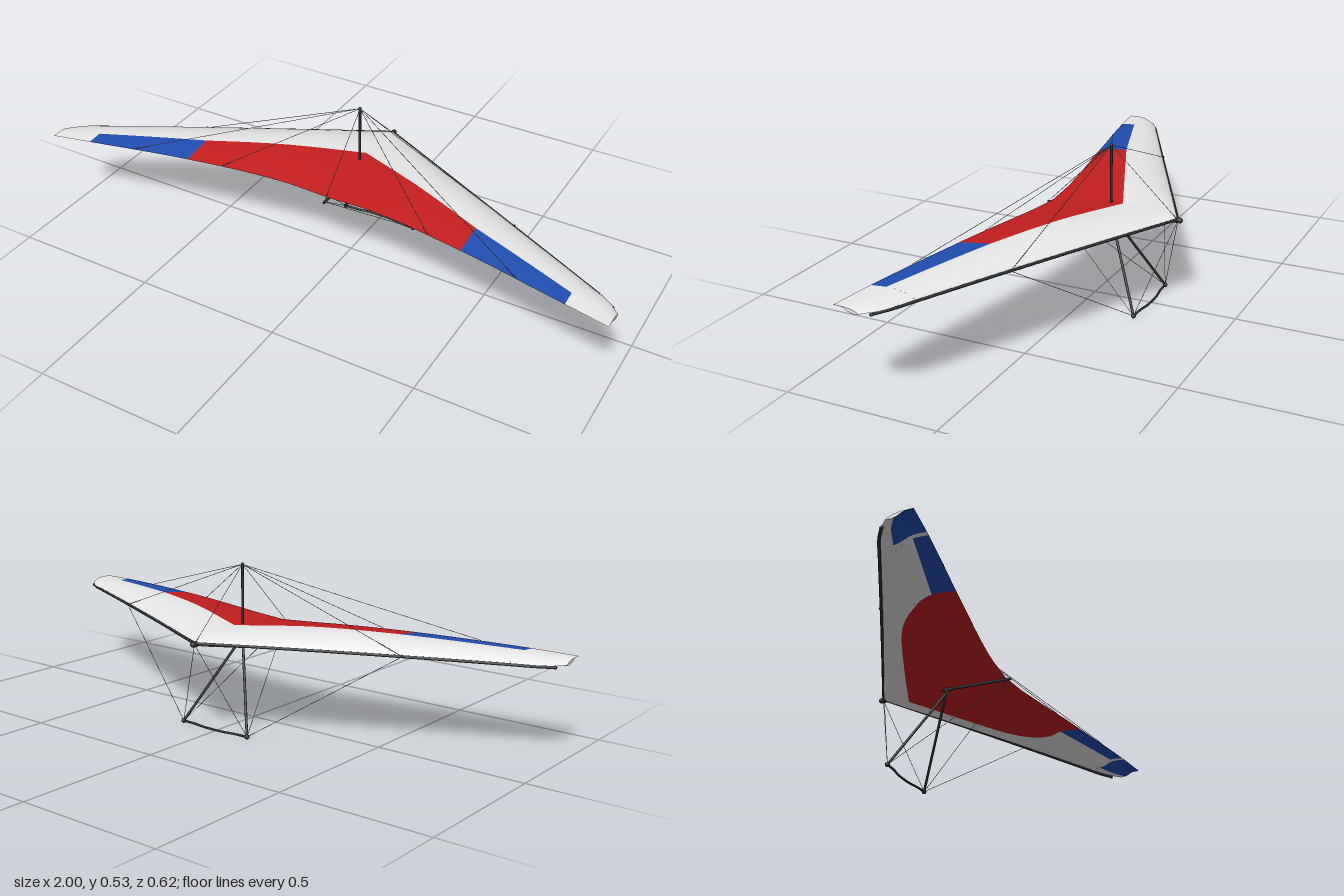
import * as THREE from 'three';
import { mergeGeometries } from 'three/addons/utils/BufferGeometryUtils.js';

const mat = (name, color, side = THREE.FrontSide) => {
  const m = new THREE.MeshStandardMaterial({ color, side });
  m.name = name;
  return m;
};
const V = (x, y, z) => new THREE.Vector3(x, y, z);

// Smooth curve through [span, value] pairs
const curve = (...pts) => {
  const c = new THREE.CubicInterpolant(pts.map(p => p[0]), pts.map(p => p[1]), 1, [0]);
  return x => c.evaluate(x)[0];
};

// Sail shape along the half span
const leadZ = curve([0, -0.297], [0.3, -0.144], [0.6, 0.008], [0.9, 0.16], [0.96, 0.193], [1, 0.23]);
const trailZ = curve([0, 0.155], [0.15, 0.162], [0.5, 0.218], [0.86, 0.287], [1, 0.311]);
const leadY = curve([0, 0.313], [0.5, 0.309], [1, 0.303]);
const trailY = curve([0, 0.311], [0.25, 0.325], [0.5, 0.329], [0.86, 0.322], [1, 0.316]);
const camber = curve([0, 0.025], [0.25, 0.033], [0.5, 0.027], [0.86, 0.014], [1, 0.007]);
const belly = curve([0, 0.026], [0.2, 0.017], [0.5, 0.006], [1, 0.005]);

// Point on the sail: x along the span, u from leading to trailing edge
function sailPoint(x, u, upper) {
  const base = THREE.MathUtils.lerp(leadY(x), trailY(x), u);
  const arch = camber(x) * Math.sin(Math.PI * Math.pow(u, 0.72));
  const z = THREE.MathUtils.lerp(leadZ(x), trailZ(x), u);
  if (upper) return [x, base + arch, z];
  const follow = 0.85 * THREE.MathUtils.smoothstep(u, 0.4, 0.8);
  const sag = u < 0.6 ? belly(x) * Math.sin(Math.PI * Math.pow(u / 0.6, 0.8)) : 0;
  return [x, base + arch * follow - sag, z];
}

// Grid of quads from a point rule f(a, b), with a and b in 0..1
function grid(f, na, nb, flip) {
  const pos = [], idx = [];
  for (let i = 0; i <= na; i++)
    for (let j = 0; j <= nb; j++) pos.push(...f(i / na, j / nb));
  for (let i = 0; i < na; i++)
    for (let j = 0; j < nb; j++) {
      const a = i * (nb + 1) + j, b = a + 1, c = a + nb + 1, d = c + 1;
      idx.push(...(flip ? [a, c, b, b, c, d] : [a, b, c, b, d, c]));
    }
  const g = new THREE.BufferGeometry();
  g.setAttribute('position', new THREE.Float32BufferAttribute(pos, 3));
  g.setIndex(idx);
  g.computeVertexNormals();
  return g;
}

// Sail panel between spans x0..x1 and chord rules u0(x)..u1(x), on both wings
function panel(x0, x1, u0, u1, upper) {
  return [1, -1].map(s => grid((a, b) => {
    const x = THREE.MathUtils.lerp(x0, x1, a);
    const p = sailPoint(x, THREE.MathUtils.lerp(u0(x), u1(x), b), upper);
    return [s * p[0], p[1], p[2]];
  }, Math.ceil((x1 - x0) * 50), 14, (s > 0) !== upper));
}

// Round bar between two points
function bar(a, b, r, sides = 10) {
  const d = b.clone().sub(a);
  const g = new THREE.CylinderGeometry(r, r, d.length(), sides);
  g.applyQuaternion(new THREE.Quaternion().setFromUnitVectors(V(0, 1, 0), d.normalize()));
  return g.translate(...a.clone().add(b).multiplyScalar(0.5).toArray());
}
const ball = (p, r) => new THREE.SphereGeometry(r, 14, 10).translate(p.x, p.y, p.z);

export function createModel() {
  const group = new THREE.Group();
  const white = mat('white sailcloth', 0xe8e8e8, THREE.DoubleSide);
  const red = mat('red sailcloth', 0xc41e1e, THREE.DoubleSide);
  const blue = mat('blue sailcloth', 0x204db0, THREE.DoubleSide);
  const dark = mat('dark tubing', 0x2a2f31);
  const steel = mat('steel wire', 0x80868a);
  const add = (name, geos, m) => {
    const mesh = new THREE.Mesh(geos.length > 1 ? mergeGeometries(geos) : geos[0], m);
    mesh.name = name;
    group.add(mesh);
  };

  // Upper sail: white front, red centre and blue outer panels behind it
  const zero = () => 0, one = () => 1;
  const frontZ = x => x < 0.5 ? -0.1 + 0.42 * x : 0.11 + 0.347 * (x - 0.5);
  const split = x => (frontZ(x) - leadZ(x)) / (trailZ(x) - leadZ(x));
  add('upperSailWhite', [
    ...panel(0, 0.5, zero, split, true),
    ...panel(0.5, 0.86, zero, split, true),
    ...panel(0.86, 1, zero, one, true),
  ], white);
  add('upperSailRed', panel(0, 0.5, split, one, true), red);
  add('upperSailBlue', panel(0.5, 0.86, split, one, true), blue);

  // Lower sail: red centre with rounded outer corners, blue rear strips and tips
  const redEdge = x => 0.225 + 0.3 * Math.pow(x / 0.55, 10);
  const blueEdge = () => 0.68;
  const tipEdge = () => 0.3;
  add('lowerSailWhite', [
    ...panel(0, 0.55, zero, redEdge, false),
    ...panel(0.55, 0.86, zero, blueEdge, false),
    ...panel(0.86, 0.877, zero, one, false),
    ...panel(0.877, 1, zero, tipEdge, false),
  ], white);
  add('lowerSailRed', panel(0, 0.55, redEdge, one, false), red);
  add('lowerSailBlue', [
    ...panel(0.55, 0.86, blueEdge, one, false),
    ...panel(0.877, 1, tipEdge, one, false),
  ], blue);

  // Closed wing tips
  add('wingTips', [1, -1].map(s => grid((a, b) => {
    const lo = sailPoint(1, a, false), hi = sailPoint(1, a, true);
    return [s, THREE.MathUtils.lerp(lo[1], hi[1], b), lo[2]];
  }, 14, 1, s < 0)), white);

  // Leading edge tubes, half sunk in the sail and dropping below it at the tips
  const nose = V(0, 0.31, -0.293);
  const drop = curve([0, 0], [0.4, 0], [0.7, 0.002], [0.9, 0.004], [1, 0.006]);
  add('leadingEdgeTubes', [1, -1].flatMap(s => {
    const pts = [0, 0.3, 0.6, 0.85, 0.93, 0.975].map(x =>
      V(s * x, leadY(x) - drop(x), leadZ(x) + 0.0045 * (1 - x)));
    return [
      new THREE.TubeGeometry(new THREE.CatmullRomCurve3(pts), 48, 0.0046, 10),
      ball(pts[5], 0.0058),
    ];
  }), dark);
  add('noseCap', [bar(V(0, 0.31, -0.3), V(0, 0.31, -0.28), 0.009, 14), ball(V(0, 0.31, -0.3), 0.009)], dark);

  // Keel and king post
  const mastTop = V(0, 0.53, -0.058);
  const apex = V(0, 0.292, -0.058);
  add('keel', [bar(nose, V(0, 0.301, 0.175), 0.0048)], dark);
  add('kingPost', [bar(V(0, 0.3, -0.058), mastTop, 0.0043), ball(mastTop, 0.0057)], dark);

  // Control frame: two uprights and a gently bowed base bar
  const corners = [1, -1].map(s => V(s * 0.135, 0.011, -0.2));
  add('uprights', corners.map(c => bar(apex, c, 0.0043)), dark);
  add('frameJoints', [...corners.map(c => ball(c, 0.008)), ball(apex, 0.006)], dark);
  add('baseBar', [new THREE.TubeGeometry(new THREE.CatmullRomCurve3([
    corners[0], V(0.085, 0.011, -0.202), V(0.04, 0.011, -0.209),
    V(-0.04, 0.011, -0.209), V(-0.085, 0.011, -0.202), corners[1],
  ]), 40, 0.0038, 10)], dark);

  // Hang strap and its steel ring beside the apex
  add('hangStrap', [new THREE.BoxGeometry(0.007, 0.02, 0.003).translate(0, 0.292, -0.0515)], red);
  add('hangRing', [new THREE.TorusGeometry(0.006, 0.0014, 8, 20)
    .rotateY(Math.PI / 2).translate(0, 0.285, -0.056)], steel);

  // Rigging wires above and below the sail
  const wires = [[mastTop, nose], [mastTop, V(0, 0.311, 0.165)]];
  const anchors = [1, -1].map(s => V(s * 0.58, 0.308, -0.004));
  anchors.forEach((side, i) => {
    wires.push([mastTop, side], [corners[i], side]);
    wires.push([corners[i], nose], [corners[i], V(0, 0.301, 0.168)]);
    for (const x of [0.38, 0.7])
      wires.push([mastTop, V(Math.sign(side.x) * x, trailY(x) + 0.001, trailZ(x))]);
  });
  add('riggingWires', wires.map(([a, b]) => bar(a, b, 0.0009, 6)), steel);
  add('sideWireAnchors', anchors.map(p => ball(p, 0.004)), dark);

  return group;
}
